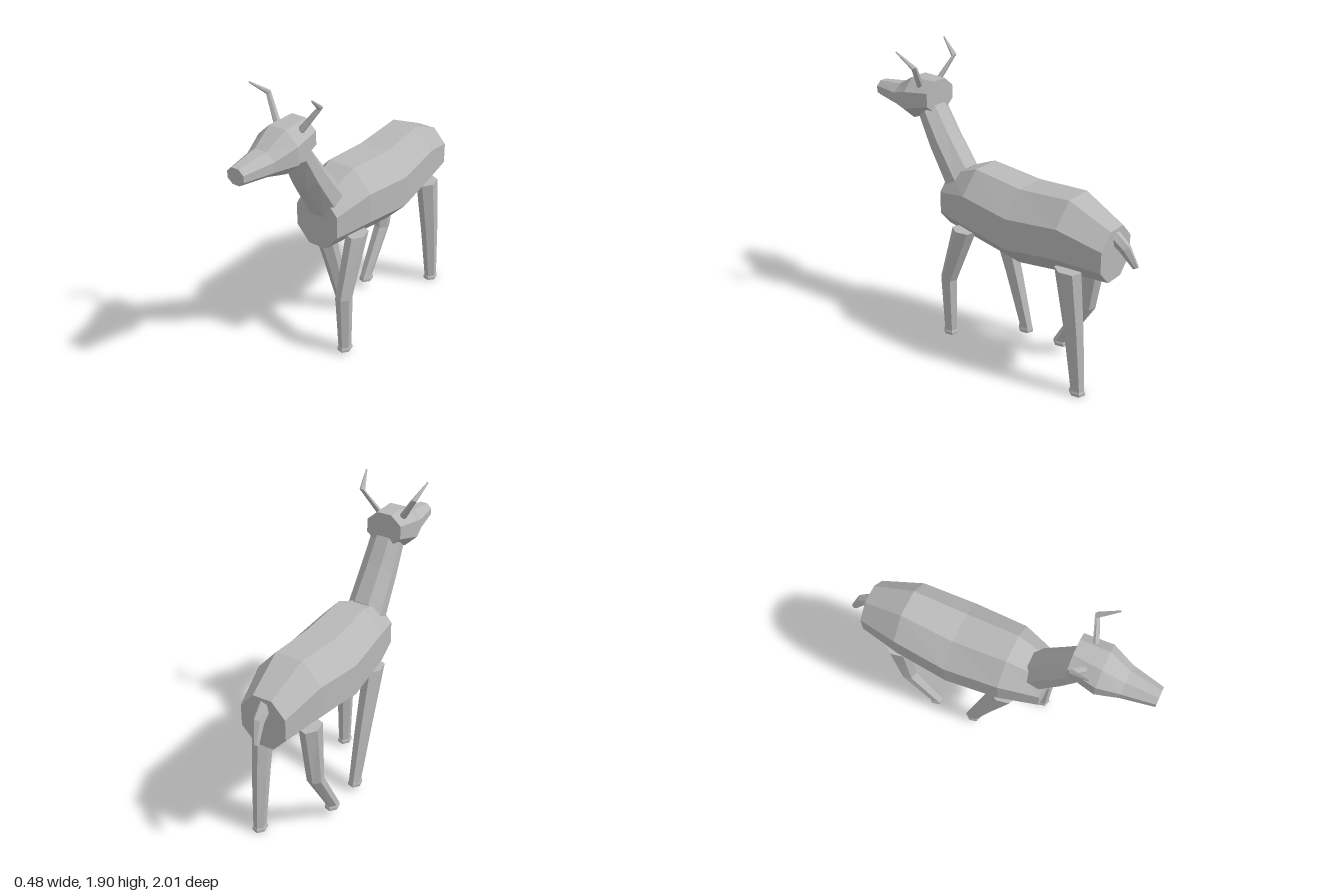
import * as THREE from 'three';

// Skins a chain of polygon rings and caps both ends.
// Ring: [x, y, z, halfWidth, halfDepth, tilt]; tilt 0 stands the depth axis along +y, 90 along +z.
function loft(name, rings, sides, material) {
  const phase = sides === 8 ? Math.PI / 8 : Math.PI / 12;
  const fit = 1 / Math.cos(phase);
  const corners = rings.map(([x, y, z, a, b, tilt = 0]) => {
    const t = THREE.MathUtils.degToRad(tilt);
    return Array.from({ length: sides }, (_, i) => {
      const p = phase + (i / sides) * Math.PI * 2;
      const u = Math.cos(p) * a * fit, v = Math.sin(p) * b * fit;
      return [x + u, y + v * Math.cos(t), z + v * Math.sin(t)];
    });
  });
  const pos = [];
  const tri = (...pts) => pts.forEach((p) => pos.push(...p));
  const first = corners[0], last = corners[corners.length - 1];
  for (let r = 0; r < corners.length - 1; r++) {
    for (let i = 0; i < sides; i++) {
      const j = (i + 1) % sides, lo = corners[r], hi = corners[r + 1];
      tri(lo[i], lo[j], hi[j]);
      tri(lo[i], hi[j], hi[i]);
    }
  }
  for (let i = 1; i < sides - 1; i++) {
    tri(first[0], first[i + 1], first[i]);
    tri(last[0], last[i], last[i + 1]);
  }
  const geo = new THREE.BufferGeometry();
  geo.setAttribute('position', new THREE.Float32BufferAttribute(pos, 3));
  geo.computeVertexNormals();
  const mesh = new THREE.Mesh(geo, material);
  mesh.name = name;
  return mesh;
}

export function createModel() {
  const model = new THREE.Group();
  model.name = 'deer';
  const grey = new THREE.MeshStandardMaterial({ color: 0xb8b8b8 });
  grey.name = 'grey hide';
  const add = (name, rings, sides = 8) => model.add(loft(name, rings, sides, grey));

  // Barrel body, rump to chest
  add('body', [
    [0, 0.945, -0.875, 0.15, 0.165],
    [0, 1.0, -0.6, 0.215, 0.235],
    [0, 0.96, -0.25, 0.24, 0.245],
    [0, 1.0, 0.1, 0.22, 0.235],
    [0, 0.957, 0.35, 0.15, 0.175],
  ]);

  // Neck rising out of the chest
  add('neck', [
    [0, 1.07, 0.272, 0.12, 0.13, -23],
    [-0.002, 1.325, 0.437, 0.112, 0.09, -45],
    [-0.005, 1.5, 0.535, 0.105, 0.072, -50],
  ]);

  // Head, back of skull to muzzle
  add('head', [
    [-0.008, 1.598, 0.48, 0.118, 0.104],
    [-0.013, 1.563, 0.66, 0.14, 0.134],
    [-0.018, 1.54, 0.8, 0.095, 0.076],
    [-0.025, 1.54, 1.0, 0.057, 0.05],
  ]);

  // Horns swept back, then kinked forward
  for (const [name, s] of [['leftHorn', 1], ['rightHorn', -1]]) {
    add(name, [
      [-0.01 + s * 0.075, 1.655, 0.57, 0.026, 0.018, -90],
      [-0.01 + s * 0.18, 1.81, 0.518, 0.018, 0.016, -60],
      [-0.01 + s * 0.215, 1.9, 0.632, 0.005, 0.005, -45],
    ], 6);
  }

  // Tail, tip to root
  add('tail', [
    [-0.035, 0.88, -0.995, 0.014, 0.02, -60],
    [-0.01, 0.995, -0.93, 0.033, 0.038, -50],
    [-0.003, 1.06, -0.85, 0.04, 0.04, -40],
  ], 6);

  // Legs in mid-stride: x, then [y, z, half depth] from hip to ankle, then ground height
  const legs = {
    leftFrontLeg: [0.155, [[0.83, 0.15, 0.082], [0.43, 0.29, 0.056], [0.05, 0.282, 0.045]], 0.02],
    rightFrontLeg: [-0.158, [[0.83, 0.115, 0.085], [0.43, -0.01, 0.062], [0.075, -0.11, 0.046]], 0.04],
    leftBackLeg: [0.155, [[0.83, -0.652, 0.086], [0.43, -0.71, 0.064], [0.03, -0.754, 0.045]], 0],
    rightBackLeg: [-0.158, [[0.83, -0.63, 0.085], [0.41, -0.59, 0.054], [0.085, -0.4, 0.046]], 0.055],
  };
  const widths = [0.06, 0.051, 0.038];
  for (const [name, [x, joints, ground]] of Object.entries(legs)) {
    const rings = joints.map(([y, z, depth], i) => [x, y, z, widths[i], depth, 90]);
    const ankleZ = joints[2][1];
    // Flared hoof
    rings.push([x, ground + 0.018, ankleZ, 0.043, 0.052, 90], [x, ground, ankleZ, 0.043, 0.052, 90]);
    add(name, rings, 6);
  }

  return model;
}
